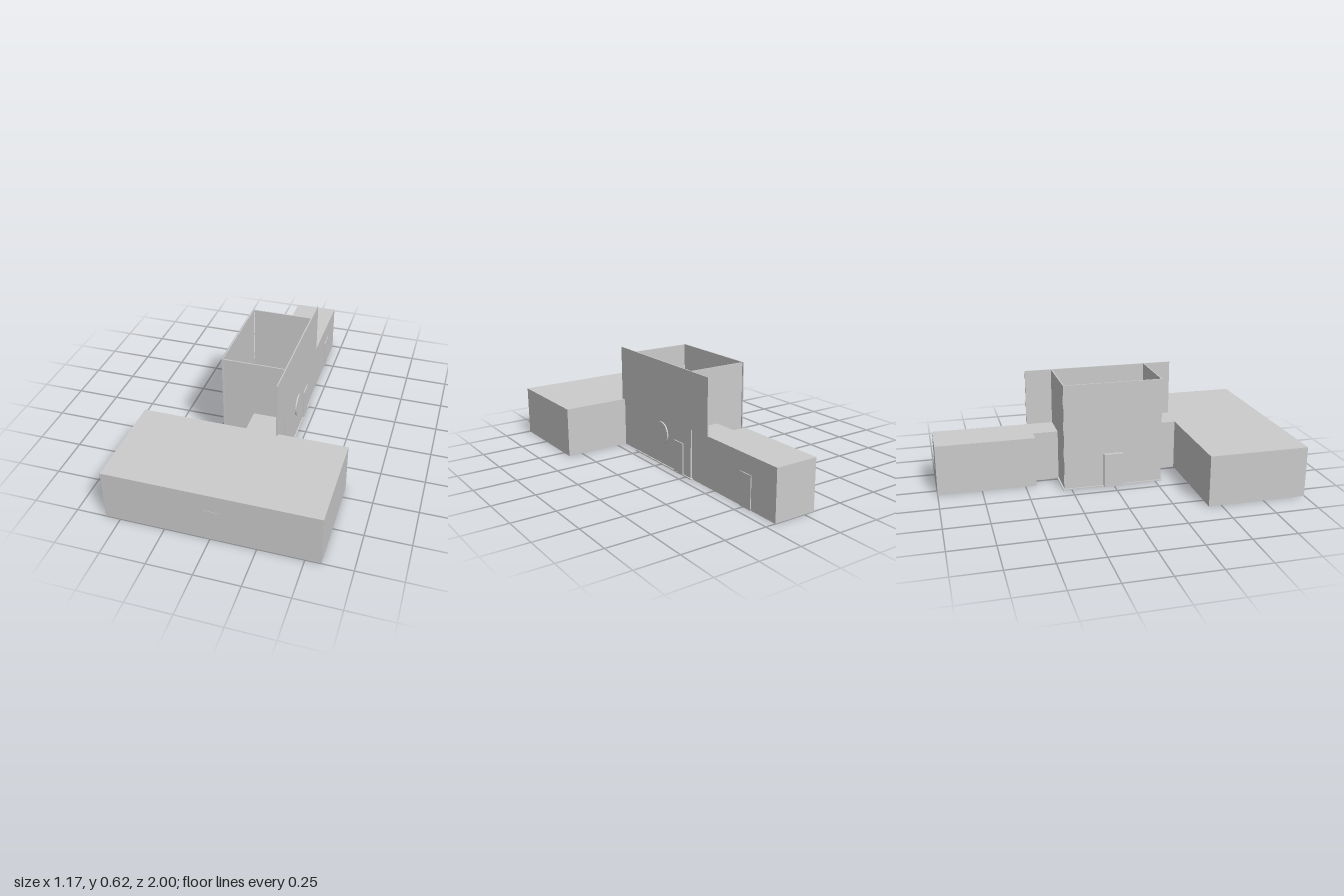
import * as THREE from 'three';

export function createModel() {
  const model = new THREE.Group();
  const mat = new THREE.MeshStandardMaterial({ color: 0xcccccc, flatShading: true, side: THREE.DoubleSide });

  function add(name, geometry, parent = model) {
    const mesh = new THREE.Mesh(geometry, mat);
    mesh.name = name;
    parent.add(mesh);
    return mesh;
  }
  // Box given by its extents on each axis
  function box(name, [x0, x1], [y0, y1], [z0, z1], parent) {
    const g = new THREE.BoxGeometry(x1 - x0, y1 - y0, z1 - z0);
    g.translate((x0 + x1) / 2, (y0 + y1) / 2, (z0 + z1) / 2);
    return add(name, g, parent);
  }

  const wingTop = 0.293, hallTop = 0.62, doorTop = 0.19;

  // Low wings and the passages joining them to the hall
  box('frontWing', [-0.585, 0.585], [0, wingTop], [0.428, 0.998]);
  box('backWing', [-0.065, 0.19], [0, wingTop], [-1, -0.435]);
  box('frontPassage', [0.015, 0.19], [0, wingTop], [0.285, 0.428]);
  box('backPassage', [0.015, 0.19], [0, wingTop], [-0.435, -0.29]);

  // Open-topped hall with separate thin walls on a floor slab
  const hall = new THREE.Group();
  hall.name = 'hall';
  model.add(hall);
  box('floor', [-0.175, 0.205], [0, 0.006], [-0.3, 0.29], hall);
  box('leftOuterWall', [-0.167, -0.16], [0, hallTop], [-0.29, 0.285], hall);
  box('frontWall', [-0.155, 0.19], [0, hallTop], [0.278, 0.285], hall);
  box('backWall', [-0.155, 0.19], [0, hallTop], [-0.29, -0.283], hall);

  // Window wall: T-shaped, its upper part overhanging both passages
  const outline = new THREE.Shape([
    [-0.285, 0], [0.29, 0], [0.29, wingTop], [0.445, wingTop],
    [0.445, hallTop], [-0.445, hallTop], [-0.445, wingTop], [-0.285, wingTop],
  ].map(([u, v]) => new THREE.Vector2(u, v)));
  const wall = new THREE.ExtrudeGeometry(outline, { depth: 0.007, bevelEnabled: false });
  wall.rotateY(Math.PI / 2).translate(0.19, 0, 0);
  add('windowWall', wall, hall);

  // Round window
  const win = new THREE.CylinderGeometry(0.066, 0.066, 0.018, 40);
  win.rotateZ(Math.PI / 2).translate(0.196, 0.195, 0);
  add('roundWindow', win, hall);

  // Doors
  box('hallSideDoor', [0.18, 0.204], [0, doorTop], [-0.22, -0.133]);
  box('hallFarDoor', [-0.188, -0.157], [0, 0.2], [-0.06, 0.05]);
  box('frontDoor', [-0.033, 0.053], [0, doorTop], [0.99, 1]);
  box('backWingDoor', [0.18, 0.195], [0, doorTop], [-0.81, -0.72]);

  // Desk and stool inside the hall
  box('desk', [0.09, 0.128], [0, 0.07], [-0.075, 0.095]);
  const stool = new THREE.CylinderGeometry(0.013, 0.013, 0.045, 20);
  add('stool', stool.translate(0.154, 0.0225, 0));

  return model;
}
